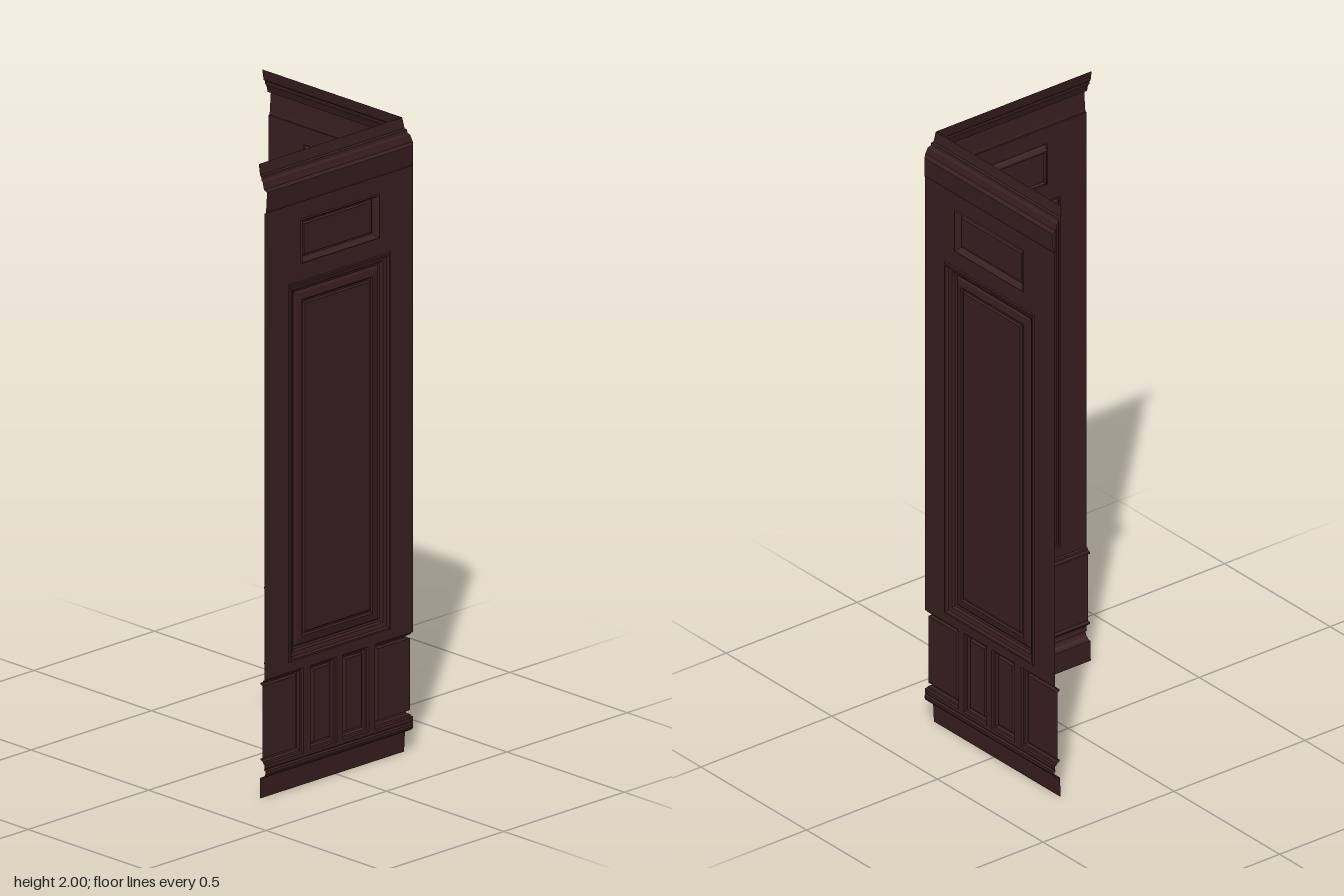
import * as THREE from 'three';

const LEFT = -0.315;   // free end of a wall
const FACE = 0.305;    // distance of the flat wall face from the centre
const CUT = 0.606;     // diagonal that trims the outer corner
const corner = d => Math.min(d, CUT - d); // where a surface at depth d meets the corner

// Horizontal mouldings as [height, depth]
const BASE = [[0, 0.284], [0.066, 0.286], [0.068, 0.297], [0.075, 0.304], [0.083, 0.308],
  [0.09, 0.308], [0.094, 0.302], [0.1, 0.305], [0.11, FACE]];
const CROWN = [[1.85, FACE], [1.851, 0.309], [1.86, 0.311], [1.918, 0.315], [1.924, 0.302], [1.945, 0.297],
  [1.952, 0.291], [1.962, 0.29], [1.966, 0.285], [2, 0.28]];

// Panel sections as [inset, depth], from the rim to the field
const LARGE = [[0, FACE], [0.002, 0.31], [0.008, 0.31], [0.012, 0.301], [0.025, 0.298], [0.029, 0.289],
  [0.036, 0.287], [0.042, 0.292], [0.064, 0.295], [0.069, 0.29], [0.074, 0.29], [0.078, 0.296]];
const SMALL = [[0, FACE], [0.003, 0.309], [0.008, 0.302], [0.014, 0.29], [0.018, 0.289], [0.022, 0.296]];
const LOWER = [[0, FACE], [0.003, 0.299], [0.008, 0.297], [0.012, 0.288], [0.017, 0.287], [0.021, 0.296]];

const LOW_Y = [0.11, 0.378];

// Collects four-cornered faces of points [u, y, depth]
class Faces {
  positions = [];
  add(a, b, c, d) {
    for (const [u, y, depth] of [a, b, c, a, c, d]) this.positions.push(u, y, -depth);
  }
  flat(u0, u1, y0, y1, d = FACE) {
    this.add([u1, y0, d], [u0, y0, d], [u0, y1, d], [u1, y1, d]);
  }
  mesh(name, material) {
    const g = new THREE.BufferGeometry();
    g.setAttribute('position', new THREE.Float32BufferAttribute(this.positions, 3));
    g.computeVertexNormals();
    const m = new THREE.Mesh(g, material);
    m.name = name;
    return m;
  }
}

// Straight moulding from the free end to the mitred corner
function moulding(profile) {
  const f = new Faces();
  for (let i = 1; i < profile.length; i++) {
    const [y0, d0] = profile[i - 1], [y1, d1] = profile[i];
    f.add([corner(d0), y0, d0], [LEFT, y0, d0], [LEFT, y1, d1], [corner(d1), y1, d1]);
  }
  return f;
}

// Stepped rectangular panel; openLeft / openRight run it off the end or round the corner
function panel(u0, u1, y0, y1, steps, openLeft = false, openRight = false) {
  const f = new Faces();
  const ring = ([s, d]) => {
    const a = openLeft ? LEFT : u0 + s, b = openRight ? corner(d) : u1 - s;
    return [[b, y0 + s, d], [a, y0 + s, d], [a, y1 - s, d], [b, y1 - s, d]];
  };
  for (let i = 1; i < steps.length; i++) {
    const p = ring(steps[i - 1]), q = ring(steps[i]);
    for (let k = 0; k < 4; k++) {
      if ((k === 1 && openLeft) || (k === 3 && openRight)) continue;
      const n = (k + 1) % 4;
      f.add(p[k], p[n], q[n], q[k]);
    }
  }
  f.add(...ring(steps[steps.length - 1]));
  return f;
}

function createWall(material) {
  const wall = new THREE.Group();
  const end = corner(FACE);
  const big = [-0.217, 0.207, 0.41, 1.6];
  const small = [-0.166, 0.16, 1.655, 1.795];
  const low = [[LEFT, -0.155], [-0.122, -0.015], [0.01, 0.117], [0.143, end]];

  // Flat frame around the panels
  const frame = new Faces();
  frame.flat(LEFT, end, LOW_Y[1], big[2]);
  frame.flat(LEFT, end, big[3], small[2]);
  frame.flat(LEFT, end, small[3], CROWN[0][0]);
  for (const [u0, u1, y0, y1] of [big, small]) {
    frame.flat(LEFT, u0, y0, y1);
    frame.flat(u1, end, y0, y1);
  }
  for (let i = 1; i < low.length; i++) frame.flat(low[i - 1][1], low[i][0], ...LOW_Y);

  wall.add(
    frame.mesh('wallFrame', material),
    moulding(BASE).mesh('baseboard', material),
    moulding(CROWN).mesh('crownMoulding', material),
    panel(...big, LARGE).mesh('largePanel', material),
    panel(...small, SMALL).mesh('upperPanel', material));
  low.forEach(([u0, u1], i) => wall.add(
    panel(u0, u1, ...LOW_Y, LOWER, i === 0, i === 3).mesh('lowerPanel' + (i + 1), material)));
  return wall;
}

// Narrow bevel along the outer corner, following all mouldings
function createBevel(material) {
  const profile = [
    ...BASE,
    ...LOWER.map(([s, d]) => [LOW_Y[0] + s, d]),
    ...LOWER.map(([s, d]) => [LOW_Y[1] - s, d]).reverse(),
    ...CROWN,
  ];
  const f = new Faces();
  for (let i = 1; i < profile.length; i++) {
    const [y0, d0] = profile[i - 1], [y1, d1] = profile[i];
    const e0 = corner(d0), e1 = corner(d1);
    if (e0 === d0 && e1 === d1) continue;
    f.add([d0, y0, e0], [e0, y0, d0], [e1, y1, d1], [d1, y1, e1]);
  }
  return f.mesh('cornerBevel', material);
}

export function createModel() {
  const material = new THREE.MeshStandardMaterial({ color: 0x391f1f, side: THREE.DoubleSide });
  const model = new THREE.Group();
  model.name = 'panelledWallCorner';

  const backWall = createWall(material);
  backWall.name = 'backWall';

  // The side wall is the back wall mirrored across the corner diagonal
  const sideWall = createWall(material);
  sideWall.name = 'sideWall';
  sideWall.scale.x = -1;
  sideWall.rotation.y = -Math.PI / 2;

  model.add(backWall, sideWall, createBevel(material));
  return model;
}
